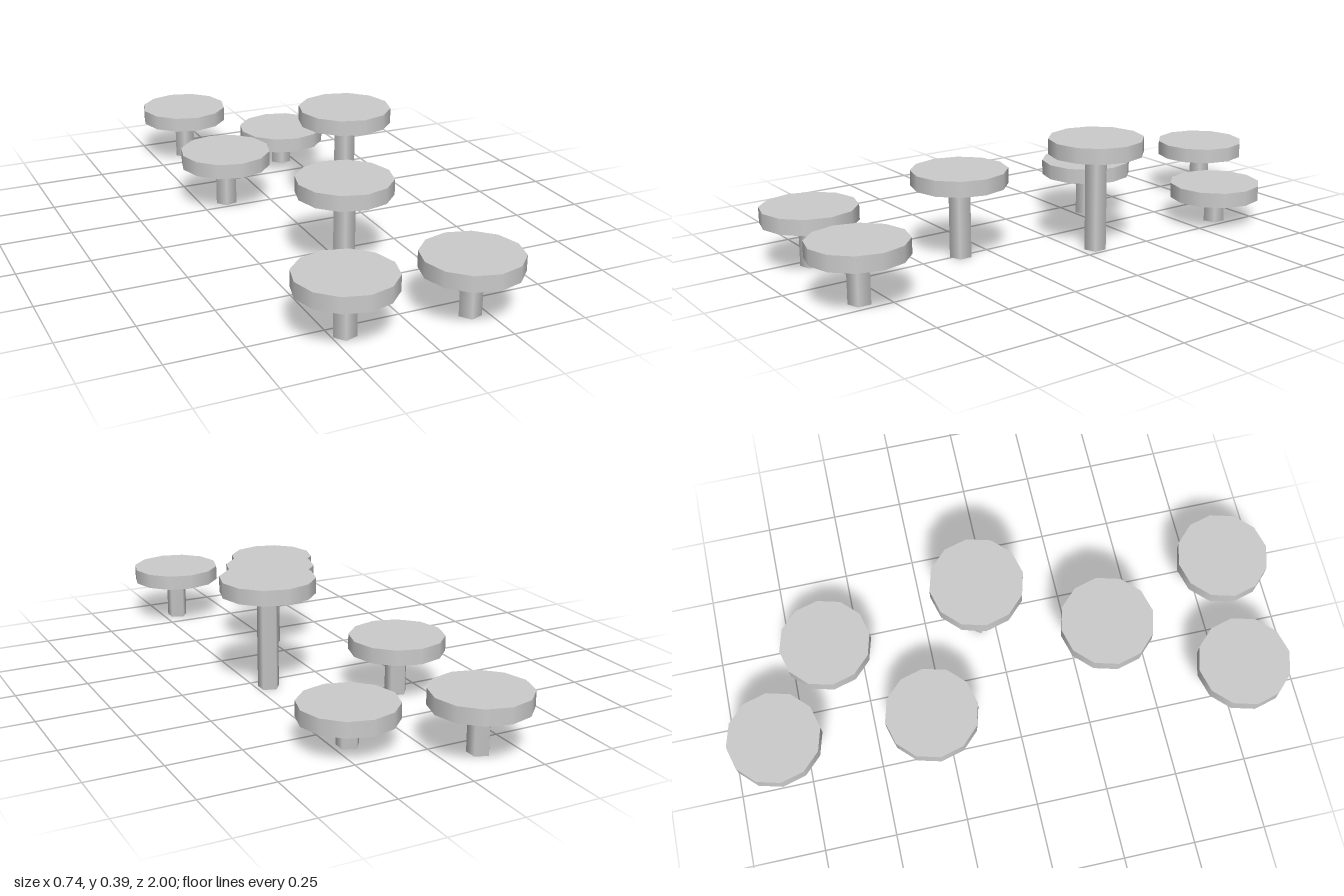
import * as THREE from 'three';

const DISC_RADIUS = 0.162, DISC_HEIGHT = 0.053, STEM_RADIUS = 0.038;

// Centre x, centre z and top height of each platform, front to back
const PLATFORMS = [
  [-0.208, 0.8, 0.204],
  [0.195, 0.836, 0.204],
  [0.005, 0.356, 0.303],
  [0.206, -0.058, 0.39],
  [-0.156, -0.296, 0.204],
  [0.2, -0.614, 0.144],
  [-0.126, -0.838, 0.204],
];

function createPlatform(top, material) {
  const platform = new THREE.Group();
  const stemHeight = top - DISC_HEIGHT;

  // Twelve-sided disc to step on
  const disc = new THREE.Mesh(
    new THREE.CylinderGeometry(DISC_RADIUS, DISC_RADIUS, DISC_HEIGHT, 12), material);
  disc.name = 'disc';
  disc.position.y = top - DISC_HEIGHT / 2;

  // Five-sided stem with one corner towards -x
  const stem = new THREE.Mesh(
    new THREE.CylinderGeometry(STEM_RADIUS, STEM_RADIUS, stemHeight, 5, 1, false, -Math.PI / 2), material);
  stem.name = 'stem';
  stem.position.y = stemHeight / 2;

  platform.add(disc, stem);
  return platform;
}

export function createModel() {
  const model = new THREE.Group();
  model.name = 'steppingPlatforms';
  const material = new THREE.MeshStandardMaterial({ color: 0xcccccc });
  PLATFORMS.forEach(([x, z, top], i) => {
    const platform = createPlatform(top, material);
    platform.name = `platform${i + 1}`;
    platform.position.set(x, 0, z);
    model.add(platform);
  });
  return model;
}
